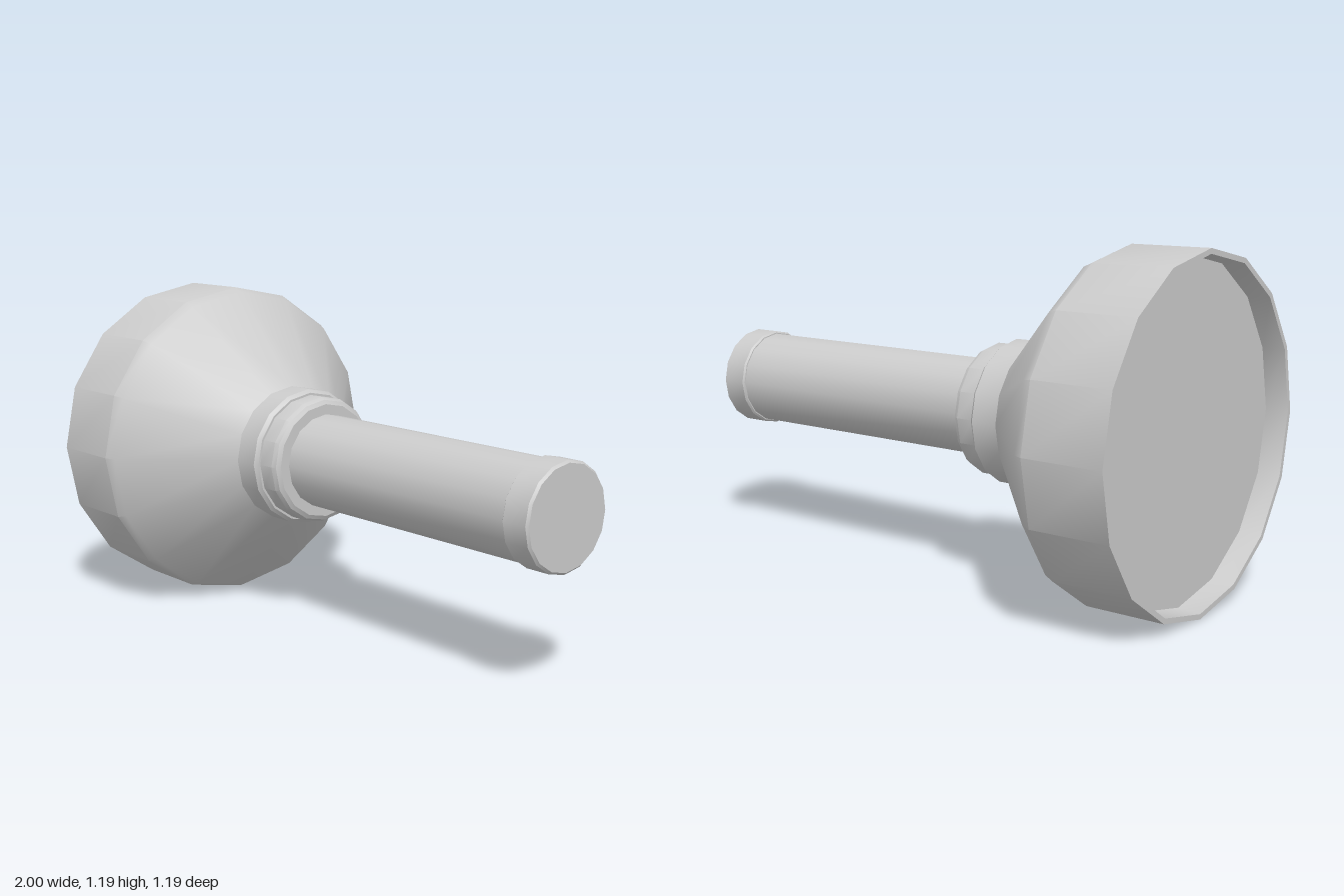
import * as THREE from 'three';
import { toCreasedNormals } from 'three/addons/utils/BufferGeometryUtils.js';

const SIDES = 16;
const AXIS_HEIGHT = 0.593;

// Turns a profile of [x, radius] pairs around the x axis.
function turned(name, profile, material) {
  const points = profile.map(([x, r]) => new THREE.Vector2(r, x));
  const geometry = new THREE.LatheGeometry(points, SIDES);
  geometry.rotateZ(-Math.PI / 2);
  const mesh = new THREE.Mesh(toCreasedNormals(geometry, 0.5), material);
  mesh.name = name;
  mesh.position.y = AXIS_HEIGHT;
  return mesh;
}

export function createModel() {
  const group = new THREE.Group();
  group.name = 'funnelHeadWithHandle';
  const grey = new THREE.MeshStandardMaterial({ color: 0xcccccc });

  group.add(
    // Wide head: recessed face, thin rim, straight wall and cone
    turned('head', [
      [-0.92, 0], [-0.92, 0.57], [-1, 0.575], [-1, 0.593],
      [-0.715, 0.593], [-0.68, 0.577], [-0.365, 0.25],
    ], grey),
    // Stepped collar
    turned('collar', [
      [-0.365, 0.25], [-0.268, 0.25], [-0.255, 0.238], [-0.255, 0.23],
      [-0.19, 0.23], [-0.174, 0.222], [-0.165, 0.207], [-0.165, 0.16],
    ], grey),
    // Long shaft
    turned('shaft', [[-0.17, 0.17], [0.9, 0.17]], grey),
    // End cap with a small bevel on both edges
    turned('endCap', [
      [0.893, 0.165], [0.893, 0.174], [0.899, 0.18],
      [0.992, 0.18], [1, 0.172], [1, 0],
    ], grey),
  );
  return group;
}
